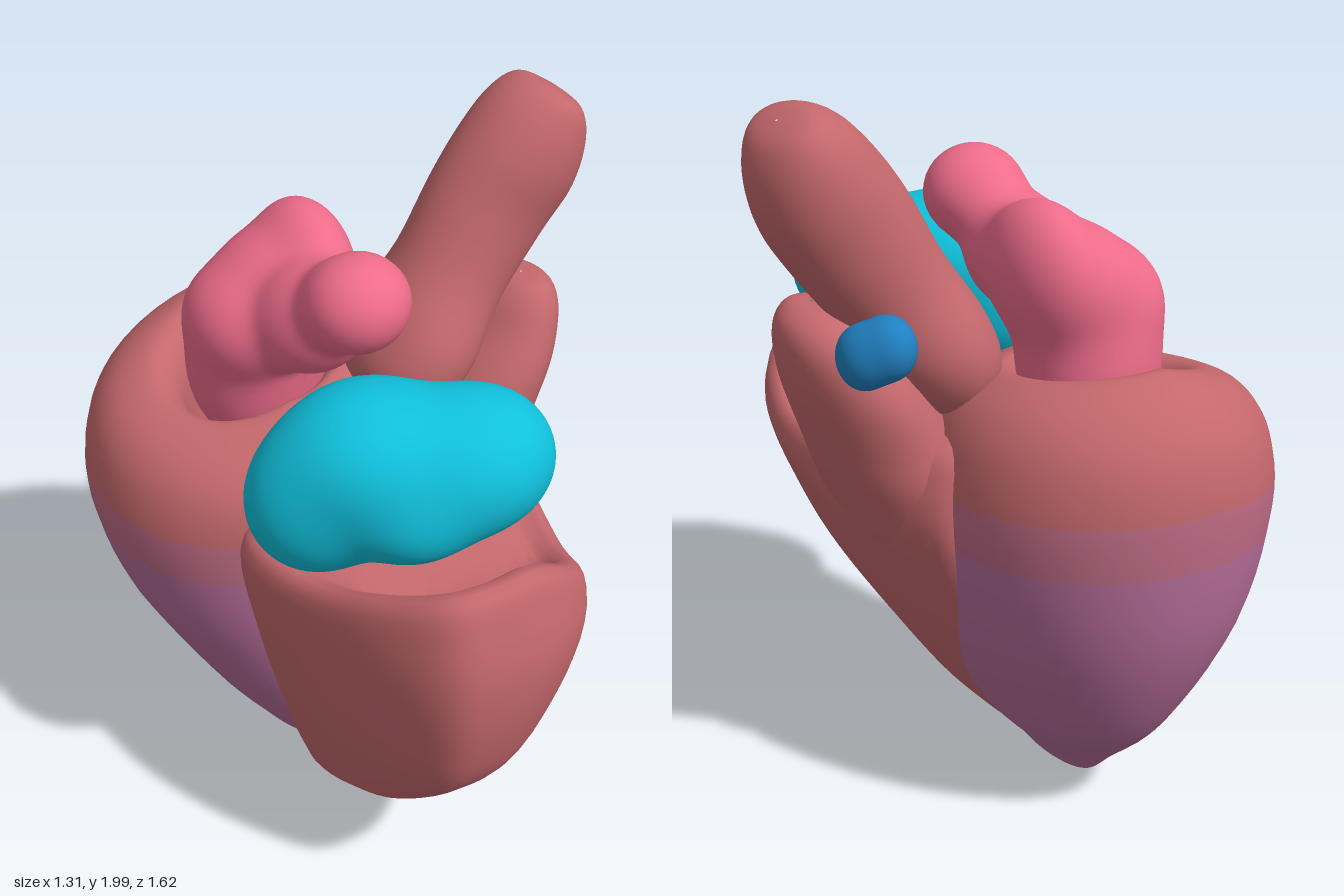
import * as THREE from 'three';
import { mergeVertices } from 'three/addons/utils/BufferGeometryUtils.js';

const MUSCLE = 0xc4686c, BLEND = 0xbc6a84, PURPLE = 0xb46c98;
const PINK = 0xee6c8a, CYAN = 0x10c0dc, BLUE = 0x2080c0;

function addMesh(group, name, geometry, color) {
  const mesh = new THREE.Mesh(geometry, new THREE.MeshStandardMaterial({ color }));
  mesh.name = name;
  group.add(mesh);
  return mesh;
}

// Smoothly resample a list of number rows (Catmull-Rom)
function resample(rows, steps, closed = false) {
  const n = rows.length, out = [];
  const at = i => rows[closed ? (i + n) % n : THREE.MathUtils.clamp(i, 0, n - 1)];
  for (let i = 0; i < (closed ? n : n - 1); i++) {
    for (let s = 0; s < steps; s++) {
      const t = s / steps, a = at(i - 1), b = at(i), c = at(i + 1), d = at(i + 2);
      out.push(b.map((v, k) => v + 0.5 * t * (c[k] - a[k] +
        t * (2 * a[k] - 5 * v + 4 * c[k] - d[k] + t * (3 * (v - c[k]) + d[k] - a[k])))));
    }
  }
  if (!closed) out.push(rows[n - 1]);
  return out;
}

// Skin closed rings of [x, y, z] points
function loft(rings) {
  const n = rings[0].length, index = [];
  for (let i = 0; i < rings.length - 1; i++) {
    for (let j = 0; j < n; j++) {
      const k = (j + 1) % n;
      const a = i * n + j, b = a + n, c = i * n + k, d = c + n;
      index.push(a, b, c, c, b, d);
    }
  }
  const g = new THREE.BufferGeometry();
  g.setAttribute('position', new THREE.Float32BufferAttribute(rings.flat(2), 3));
  g.setIndex(index);
  g.computeVertexNormals();
  return g;
}

// Skin elliptical rings given as [y, centreX, centreZ, radiusX, radiusZ]
function ovalLoft(rows, tilt = () => 0, segments = 48) {
  return loft(resample(rows, 5).map(([y, cx, cz, rx, rz]) =>
    Array.from({ length: segments }, (_, j) => {
      const a = j / segments * Math.PI * 2, x = Math.cos(a), z = Math.sin(a);
      return [cx + rx * x, y + tilt(x, z, y), cz + rz * z];
    })));
}

// Sphere pushed out to the skin of several merged ellipsoids [x, y, z, rx, ry, rz]
function blob(center, balls) {
  let g = new THREE.IcosahedronGeometry(1, 18);
  g.deleteAttribute('normal');
  g.deleteAttribute('uv');
  g = mergeVertices(g);
  const p = g.attributes.position, v = new THREE.Vector3(), c = new THREE.Vector3(...center);
  const inside = (d, r) => balls.reduce((sum, [x, y, z, rx, ry, rz]) => sum + Math.exp(4 * (1 - Math.hypot(
    (c.x + d.x * r - x) / rx, (c.y + d.y * r - y) / ry, (c.z + d.z * r - z) / rz))), 0) > 1;
  for (let i = 0; i < p.count; i++) {
    v.fromBufferAttribute(p, i).normalize();
    let hi = 0.9;
    while (hi > 0.02 && !inside(v, hi)) hi -= 0.01;
    let lo = hi;
    hi += 0.01;
    for (let k = 0; k < 8; k++) {
      const mid = (lo + hi) / 2;
      if (inside(v, mid)) lo = mid; else hi = mid;
    }
    v.multiplyScalar(lo).add(c);
    p.setXYZ(i, v.x, v.y, v.z);
  }
  g.computeVertexNormals();
  return g;
}

// Rear cup: thick wall rolled over the rim into a deep hollow, in three colour bands
function addRearChamber(group) {
  const rows = [
    [0.02, -0.19, -0.25, 0.005, 0.005], [0.035, -0.18, -0.24, 0.045, 0.13], [0.12, -0.18, -0.25, 0.115, 0.21],
    [0.3, -0.17, -0.28, 0.25, 0.35], [0.6, -0.19, -0.33, 0.39, 0.44], [0.9, -0.2, -0.35, 0.455, 0.46],
    [1.1, -0.2, -0.35, 0.44, 0.44], [1.22, -0.2, -0.35, 0.38, 0.36], [1.28, -0.2, -0.35, 0.28, 0.26],
    [1.26, -0.2, -0.34, 0.22, 0.21], [1.17, -0.2, -0.33, 0.18, 0.18], [0.95, -0.2, -0.33, 0.16, 0.16],
    [0.6, -0.2, -0.33, 0.12, 0.12], [0.45, -0.2, -0.33, 0.005, 0.005]];
  const geo = ovalLoft(rows, (x, z, y) => (0.08 * Math.min(x, 0) - 0.045 * z) * Math.max(0, y - 0.5) / 0.8);
  const index = Array.from(geo.index.array), perRow = 48 * 6;
  [['rearChamberLower', 0, 24, PURPLE], ['rearChamberMiddle', 24, 27, BLEND], ['rearChamberRim', 27, 65, MUSCLE]]
    .forEach(([name, from, to, color]) => {
      const band = geo.clone();
      band.setIndex(index.slice(from * perRow, to * perRow));
      addMesh(group, name, band, color);
    });
}

// Front chamber: wedge section [x, z, rimHeight] tapering down to the apex
function frontChamber() {
  const section = resample([
    [-0.3, 0, 1.08], [0, -0.2, 1.14], [0.25, -0.34, 1.13], [0.36, -0.16, 1.08], [0.41, -0.01, 1.04], [0.37, 0.2, 0.98],
    [0.3, 0.48, 0.96], [0.2, 0.69, 1.06], [0.04, 0.79, 1.16], [-0.12, 0.81, 1.17], [-0.26, 0.77, 1.16],
    [-0.36, 0.58, 1.09], [-0.42, 0.3, 1.0], [-0.45, 0.06, 1.02]], 6, true);
  // Taper by height: [y, scaleX, scaleZ]
  const taper = resample([[0, 0.01, 0.02], [0.03, 0.08, 0.12], [0.1, 0.19, 0.28], [0.25, 0.4, 0.56],
    [0.5, 0.68, 0.87], [0.7, 0.86, 0.97], [0.9, 1, 1], [1.05, 0.97, 0.975], [1.2, 0.88, 0.92]], 8);
  // The rear side tapers more slowly so it stays joined to the rear chamber
  const outer = (x, z, y) => {
    const i = Math.max(1, taper.findIndex(r => r[0] >= y));
    const a = taper[i - 1], b = taper[i], t = (y - a[0]) / (b[0] - a[0]);
    const sx = THREE.MathUtils.lerp(a[1], b[1], t), sz = THREE.MathUtils.lerp(a[2], b[2], t);
    return [-0.2 + (x + 0.2) * sx, y, z * (z < 0 ? Math.sqrt(sz) : sz)];
  };
  const rings = [];
  for (let i = 0; i <= 26; i++) {
    rings.push(section.map(([x, z, rim]) => outer(x, z, (i / 26) ** 1.3 * (rim - 0.07))));
  }
  // Rolled rim, then the hollow: [shrink, drop below rim, blend to floor]
  for (const [s, drop, floor] of [[0.98, 0.035, 0], [0.95, 0.012, 0], [0.9, 0, 0], [0.84, 0, 0], [0.78, 0.015, 0.05],
    [0.72, 0.03, 0.4], [0.64, 0.03, 0.85], [0.5, 0, 1], [0.25, 0, 1], [0.005, 0, 1]]) {
    rings.push(section.map(([x, z, rim]) => {
      const [px, , pz] = outer(x, z, rim - 0.07);
      const iz = 0.33 + (pz - 0.33) * s;
      const floorY = 1.08 - 0.27 * THREE.MathUtils.clamp(iz, 0, 0.5);
      return [-0.04 + (px + 0.04) * s, THREE.MathUtils.lerp(rim - drop, floorY, floor), iz];
    }));
  }
  return loft(rings);
}

export function createModel() {
  const heart = new THREE.Group();
  heart.name = 'heart';

  addRearChamber(heart);
  addMesh(heart, 'frontChamber', frontChamber(), MUSCLE);

  // Outflow arm rising from the front chamber
  addMesh(heart, 'outflowArm', ovalLoft([
    [0.4, 0.02, 0.03, 0.05, 0.1], [0.7, 0.125, -0.01, 0.18, 0.21], [0.95, 0.235, -0.05, 0.195, 0.23],
    [1.1, 0.305, -0.06, 0.185, 0.22], [1.25, 0.38, -0.06, 0.16, 0.215], [1.36, 0.435, -0.055, 0.125, 0.18],
    [1.43, 0.455, -0.04, 0.095, 0.135], [1.468, 0.46, -0.02, 0.05, 0.075], [1.473, 0.46, -0.02, 0.003, 0.003]]), MUSCLE);

  // Leaning main artery
  const artery = addMesh(heart, 'mainArtery', ovalLoft([
    [0, 0, 0, 0.005, 0.005], [0.02, 0, 0, 0.08, 0.1], [0.09, 0, 0, 0.14, 0.18], [0.22, 0, 0, 0.16, 0.2],
    [0.4, 0, 0, 0.16, 0.155], [0.6, 0, 0, 0.175, 0.15], [0.75, 0, 0.01, 0.17, 0.162], [0.87, -0.01, 0.015, 0.135, 0.15],
    [0.94, -0.02, 0.02, 0.075, 0.11], [0.955, -0.02, 0.02, 0.003, 0.003]]), MUSCLE);
  artery.position.set(0.06, 1.16, -0.1);
  artery.rotation.z = -0.588;

  // Upper chambers and valve
  addMesh(heart, 'rearUpperChamber', blob([-0.14, 1.5, -0.13], [
    [-0.19, 1.25, -0.31, 0.19, 0.24, 0.18], [-0.27, 1.42, -0.27, 0.11, 0.12, 0.16],
    [-0.15, 1.48, -0.29, 0.13, 0.14, 0.16], [-0.05, 1.53, -0.28, 0.11, 0.17, 0.17],
    [-0.14, 1.5, -0.07, 0.14, 0.14, 0.13], [-0.11, 1.62, 0.09, 0.135, 0.125, 0.13]]), PINK);
  addMesh(heart, 'frontUpperChamber', blob([-0.16, 1.29, 0.36], [
    [-0.32, 1.23, 0.27, 0.2, 0.2, 0.17], [-0.22, 1.37, 0.33, 0.2, 0.16, 0.19],
    [0, 1.33, 0.45, 0.21, 0.18, 0.19], [-0.17, 1.24, 0.42, 0.15, 0.13, 0.16]]), CYAN);
  addMesh(heart, 'outflowValve', blob([0.43, 1.41, -0.262], [
    [0.405, 1.425, -0.285, 0.065, 0.08, 0.075], [0.455, 1.395, -0.24, 0.06, 0.08, 0.075]]), BLUE);

  return heart;
}
